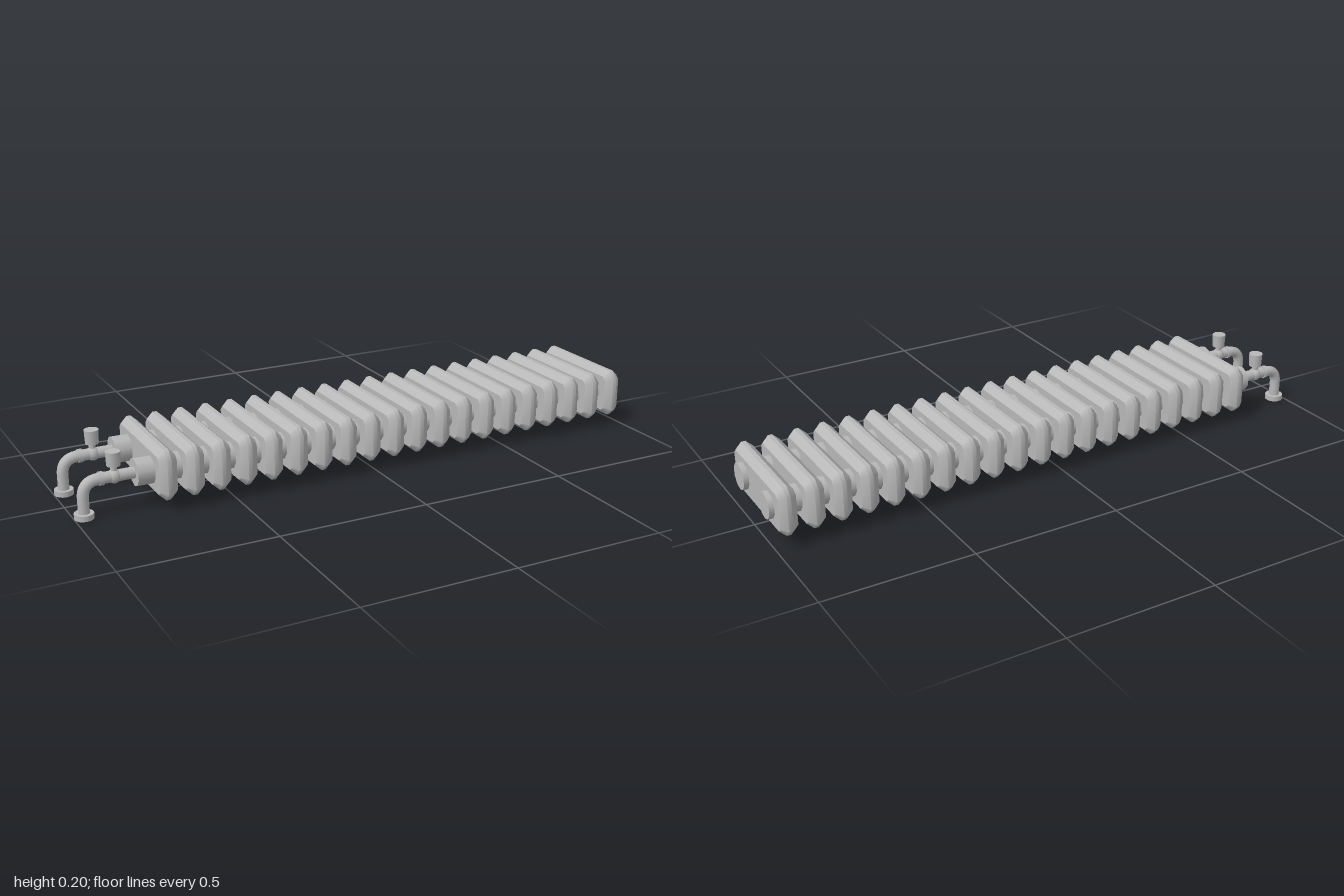
import * as THREE from 'three';

const metal = new THREE.MeshStandardMaterial({ color: 0xb8b8b8 });
metal.name = 'grey metal';

const PIPE_Y = 0.119, PIPE_Z = 0.106;

function add(parent, name, geometry, x = 0, y = 0, z = 0) {
  const mesh = new THREE.Mesh(geometry, metal);
  mesh.name = name;
  mesh.position.set(x, y, z);
  parent.add(mesh);
  return mesh;
}

// Chamfered rectangle in the zy plane, counter-clockwise seen from +x
function loop(x, halfZ, halfY, cut) {
  const a = halfZ, b = halfY, c = cut;
  return [[a, b - c], [a - c, b], [c - a, b], [-a, b - c],
    [-a, c - b], [c - a, -b], [a - c, -b], [a, c - b]].map(([z, y]) => [x, y, z]).reverse();
}

function meshGeometry(points, index) {
  const g = new THREE.BufferGeometry();
  g.setAttribute('position', new THREE.Float32BufferAttribute(points.flat(), 3));
  g.setIndex(index);
  g.computeVertexNormals();
  return g;
}

// Closed strip joining two loops, smooth around the rim
function band(left, right) {
  const n = left.length, index = [];
  for (let i = 0; i < n; i++) {
    const j = (i + 1) % n;
    index.push(i, j, n + i, j, n + j, n + i);
  }
  return meshGeometry([...left, ...right], index);
}

function cap(points, facingRight) {
  const index = [];
  for (let i = 1; i < points.length - 1; i++) {
    index.push(0, ...(facingRight ? [i, i + 1] : [i + 1, i]));
  }
  return meshGeometry(points, index);
}

// Check winding against +x and flip the loops if they run the other way
function orient(points) {
  const [p, q, r] = points.map((v) => new THREE.Vector3(...v));
  const nx = q.sub(p).cross(r.sub(p)).x;
  return nx > 0 ? points : points.slice().reverse();
}

function createModel() {
  const model = new THREE.Group();
  model.name = 'radiator';

  // Fins: bevelled plates with a narrow rim
  const loops = [
    loop(-0.029, 0.182, 0.062, 0.013), loop(-0.007, 0.2, 0.082, 0.026),
    loop(0.007, 0.2, 0.082, 0.026), loop(0.029, 0.182, 0.062, 0.013),
  ].map(orient);
  const finParts = [
    ['finLeftBevel', band(loops[0], loops[1])],
    ['finRim', band(loops[1], loops[2])],
    ['finRightBevel', band(loops[2], loops[3])],
    ['finLeftFace', cap(loops[0], false)],
    ['finRightFace', cap(loops[3], true)],
  ];
  for (let i = 0; i < 20; i++) {
    const fin = new THREE.Group();
    fin.name = 'fin';
    fin.position.set(-0.722 + i * 0.0882, 0.118, 0);
    finParts.forEach(([name, geometry]) => add(fin, name, geometry));
    model.add(fin);
  }

  // Ten-sided header pipe, with a corner at the top
  const header = new THREE.CylinderGeometry(0.0446, 0.0446, 1.805, 10);
  header.rotateZ(-Math.PI / 2);
  header.rotateX(Math.PI / 2);

  // Supply pipe bending down to the floor
  const path = new THREE.CurvePath();
  const v = (x, y) => new THREE.Vector3(x, y, 0);
  path.add(new THREE.LineCurve3(v(-0.79, PIPE_Y), v(-0.915, PIPE_Y)));
  path.add(new THREE.QuadraticBezierCurve3(v(-0.915, PIPE_Y), v(-0.969, PIPE_Y), v(-0.969, 0.065)));
  path.add(new THREE.LineCurve3(v(-0.969, 0.065), v(-0.969, 0.01)));
  const supply = new THREE.TubeGeometry(path, 32, 0.0185, 12, false);

  const collar = new THREE.CylinderGeometry(0.022, 0.022, 0.014, 12).rotateZ(Math.PI / 2);
  const stem = new THREE.CylinderGeometry(0.011, 0.011, 0.05, 12);
  const knob = new THREE.CylinderGeometry(0.024, 0.022, 0.046, 12);
  const valveBody = new THREE.SphereGeometry(0.023, 12, 8);
  const flange = new THREE.CylinderGeometry(0.031, 0.031, 0.018, 16);

  for (const side of [1, -1]) {
    const z = side * PIPE_Z;
    add(model, 'headerPipe', header, 0.0975, PIPE_Y, z);
    add(model, 'supplyPipe', supply, 0, 0, z);
    add(model, 'pipeCollar', collar, -0.91, PIPE_Y, z);
    add(model, 'valveBody', valveBody, -0.868, PIPE_Y, z);
    add(model, 'valveStem', stem, -0.868, 0.145, z);
    add(model, 'valveKnob', knob, -0.868, 0.177, z);
    add(model, 'floorFlange', flange, -0.969, 0.009, z);
  }
  return model;
}

export { createModel };
